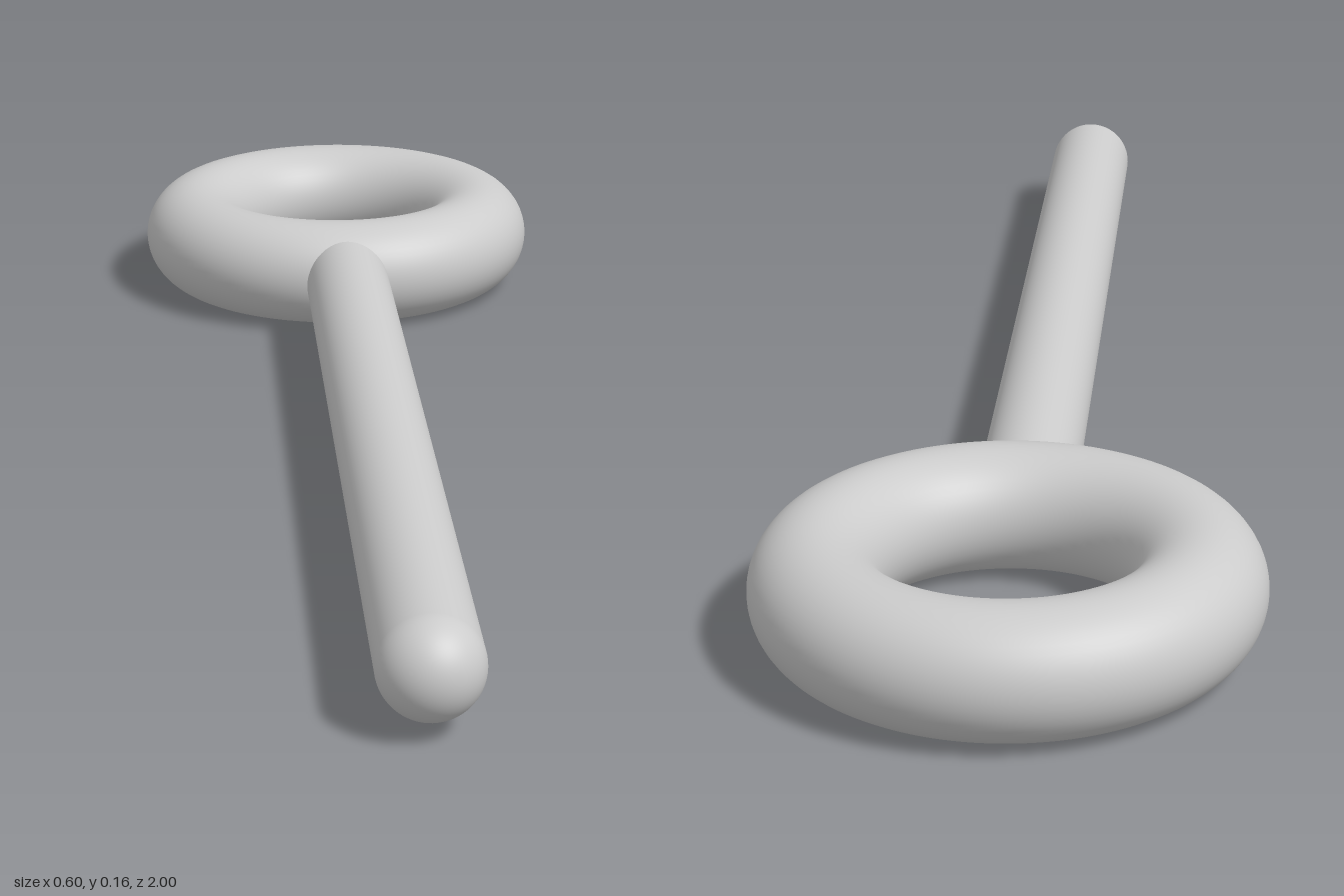
import * as THREE from 'three';

const TUBE = 0.078; // ring tube radius, also the height of the centre plane
const RING = 0.222; // ring centreline radius
const ROD = 0.0615; // shaft radius

export function createModel() {
  const group = new THREE.Group();
  const material = new THREE.MeshStandardMaterial({ color: 0xcccccc });

  const add = (name, geometry, z) => {
    const mesh = new THREE.Mesh(geometry, material);
    mesh.name = name;
    mesh.rotation.x = Math.PI / 2;
    mesh.position.set(0, TUBE, z);
    group.add(mesh);
  };

  // Ring lying flat at the back
  add('ring', new THREE.TorusGeometry(RING, TUBE, 48, 128), -0.7);

  // Shaft with a rounded tip, its back end buried in the ring
  const back = -0.7 + RING;
  const length = 1 - ROD - back;
  add('shaft', new THREE.CylinderGeometry(ROD, ROD, length, 64), back + length / 2);
  add('tip', new THREE.SphereGeometry(ROD, 64, 24, 0, Math.PI * 2, 0, Math.PI / 2), 1 - ROD);

  return group;
}
